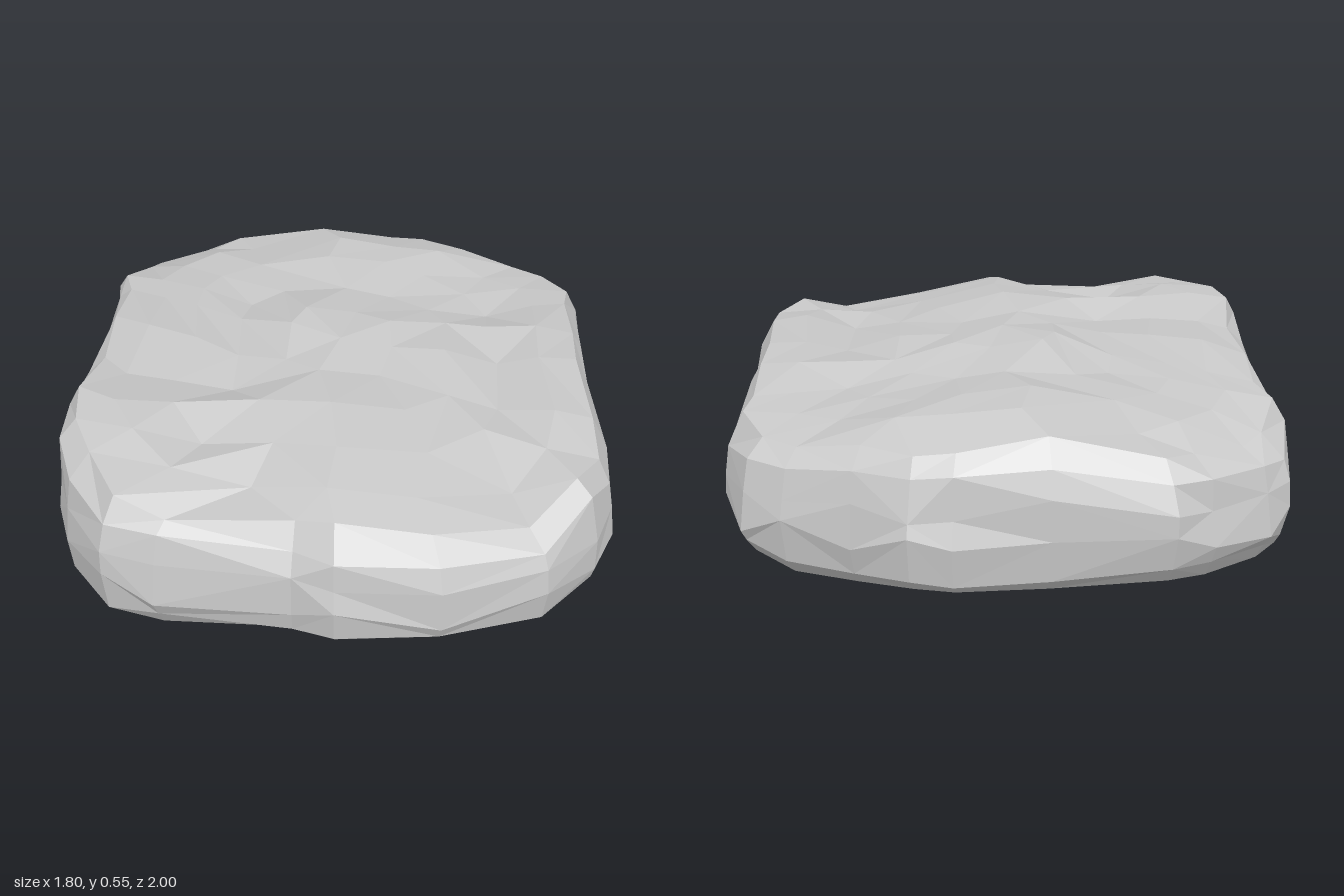
import * as THREE from 'three';

// Plan outline of the slab as [x, z], running from the left side (+x) round by the front
const outline = [
  [0.88, 0], [0.9, 0.35], [0.9, 0.55], [0.83, 0.7], [0.67, 0.87], [0.35, 0.97],
  [0.03, 1], [-0.1, 0.95], [-0.52, 0.94], [-0.68, 0.89], [-0.82, 0.72], [-0.88, 0.55],
  [-0.9, 0.36], [-0.87, 0.1], [-0.87, -0.2], [-0.87, -0.45], [-0.89, -0.57], [-0.85, -0.77],
  [-0.78, -0.85], [-0.6, -0.95], [-0.48, -0.99], [-0.12, -0.975], [0.17, -1], [0.3, -0.99],
  [0.47, -0.91], [0.68, -0.83], [0.81, -0.76], [0.88, -0.58], [0.89, -0.48], [0.87, -0.2],
];
// Crest heights across the width, and across the depth
const crestX = [[-0.9, 0.53], [-0.83, 0.555], [-0.6, 0.545], [-0.36, 0.505], [-0.07, 0.565],
  [0.2, 0.515], [0.36, 0.51], [0.56, 0.47], [0.8, 0.505], [0.89, 0.44]];
const crestZ = [[-1, 0.46], [-0.92, 0.5], [-0.7, 0.54], [-0.4, 0.52], [-0.1, 0.565],
  [0.2, 0.525], [0.35, 0.555], [0.6, 0.53], [0.9, 0.515], [1, 0.48]];
// Underside height across the width
const soleX = [[-0.9, 0.09], [-0.83, 0.06], [-0.7, 0.037], [-0.4, 0.04], [-0.07, 0],
  [0.3, 0.015], [0.66, 0], [0.87, 0.08]];
// Worn corners and hollows in the rim, and one raised corner: x, z, depth, radius
const hollows = [[-0.78, -0.8, 0.12, 0.3], [0.78, -0.78, 0.06, 0.22], [0.45, 0.88, 0.07, 0.25],
  [-0.24, 0.92, 0.1, 0.23], [-0.85, -0.1, 0.05, 0.28], [-0.84, 0.45, -0.02, 0.2]];

function sample(profile, t) {
  if (t <= profile[0][0]) return profile[0][1];
  for (let i = 1; i < profile.length; i++) {
    const [a, va] = profile[i - 1], [b, vb] = profile[i];
    if (t <= b) return va + (vb - va) * (t - a) / (b - a);
  }
  return profile[profile.length - 1][1];
}

function outlineAt(u) {
  const f = u * outline.length, i = Math.floor(f) % outline.length;
  const a = outline[i], b = outline[(i + 1) % outline.length], t = f - Math.floor(f);
  return [a[0] + (b[0] - a[0]) * t, a[1] + (b[1] - a[1]) * t];
}

const top = (x, z) => hollows.reduce(
  (y, [hx, hz, depth, r]) => y - depth * Math.exp(-((x - hx) ** 2 + (z - hz) ** 2) / (r * r)),
  sample(crestX, x) + sample(crestZ, z) - 0.56);
const base = (x, z) => Math.max(sample(soleX, x), 0.045 * THREE.MathUtils.smoothstep(z, -0.87, -0.3));

// Rings from the underside to the crown: count, x scale, z scale, height, plan and height jitter
const rings = [
  [1, 0, 0, base, 0, 0],
  [12, 0.55, 0.55, base, 0.02, 0.003],
  [30, 0.96, 0.925, base, 0.008, 0],
  [30, 0.985, 0.98, (x, z) => base(x, z) + 0.055, 0.008, 0.015],
  [30, 1, 1, (x, z) => top(x, z) * 0.42, 0, 0.04],
  [30, 0.99, 0.985, (x, z) => top(x, z) * 0.66, 0.012, 0.025],
  [30, 0.97, 0.96, (x, z) => top(x, z) * 0.86, 0.015, 0.02],
  [30, 0.915, 0.9, (x, z) => top(x, z) - 0.01, 0.02, 0.01],
  [24, 0.77, 0.76, top, 0.035, 0.012],
  [20, 0.59, 0.59, top, 0.035, 0.012],
  [14, 0.4, 0.4, top, 0.035, 0.012],
  [8, 0.2, 0.2, top, 0.03, 0.01],
  [1, 0, 0, top, 0, 0],
];

function rockGeometry() {
  let seed = 11;
  const wobble = () => {
    seed = (seed * 16807) % 2147483647;
    return seed / 1073741823.5 - 1;
  };
  const loops = rings.map(([n, sx, sz, height, plan, lift]) =>
    Array.from({ length: n }, (_, i) => {
      const [ox, oz] = outlineAt(i / n);
      const k = 1 + wobble() * plan;
      const x = ox * sx * k, z = oz * sz * k;
      return [x, height(x, z) + wobble() * lift, z];
    }));

  // Stitch neighbouring rings, even where their counts differ
  const positions = [];
  for (let r = 0; r + 1 < loops.length; r++) {
    const a = loops[r], b = loops[r + 1], na = a.length, nb = b.length;
    let i = 0, j = 0;
    while (i < na || j < nb) {
      const lead = (i + 1) / na - (j + 1) / nb + wobble() * 0.4 / Math.max(na, nb);
      const p = a[i % na], q = b[j % nb];
      if (j >= nb || (i < na && lead <= 0)) {
        i++;
        if (na > 1) positions.push(...p, ...q, ...a[i % na]);
      } else {
        j++;
        if (nb > 1) positions.push(...p, ...q, ...b[j % nb]);
      }
    }
  }
  const geometry = new THREE.BufferGeometry();
  geometry.setAttribute('position', new THREE.Float32BufferAttribute(positions, 3));
  geometry.computeVertexNormals(); // unshared corners keep every facet flat
  return geometry;
}

export function createModel() {
  const stone = new THREE.MeshStandardMaterial({ color: 0xc8c8c8 });
  stone.name = 'grey stone';

  const slab = new THREE.Mesh(rockGeometry(), stone);
  slab.name = 'rockSlab';

  const group = new THREE.Group();
  group.name = 'flatRock';
  group.add(slab);
  return group;
}
